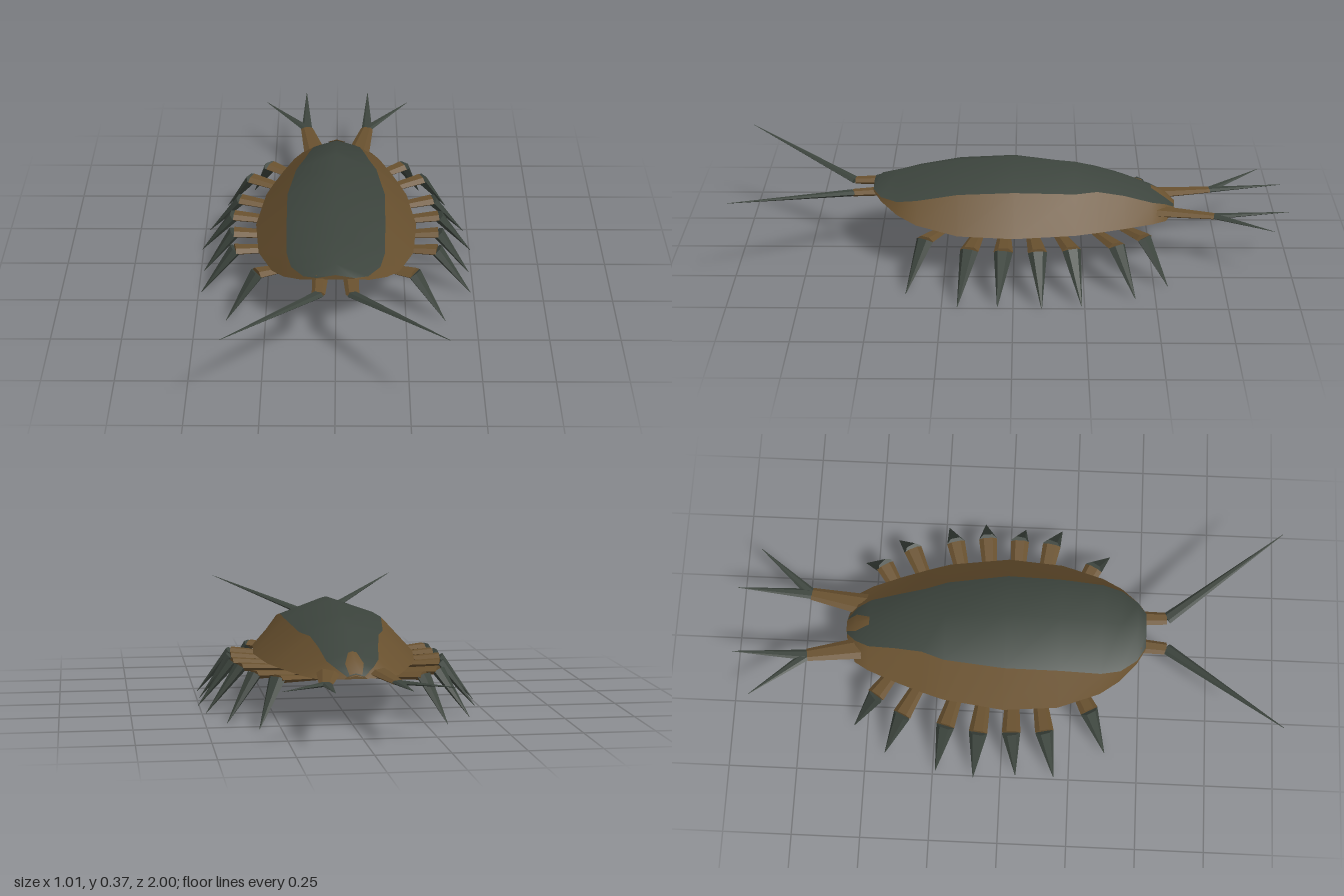
import * as THREE from 'three';

// The shell is an open, hollow surface, so both sides show
const shellGreen = new THREE.MeshStandardMaterial({ color: 0x3c443d, side: THREE.DoubleSide });
shellGreen.name = 'dark green shell';
const rimBrown = new THREE.MeshStandardMaterial({ color: 0x69512f, side: THREE.DoubleSide });
rimBrown.name = 'earth brown';

// Shell stations: z, rim half-width, rim y, shoulder half-width, shoulder y, ridge y
const stations = [
  [-0.585, 0.04, 0.172, 0.03, 0.18, 0.188],
  [-0.55, 0.135, 0.17, 0.065, 0.205, 0.225],
  [-0.5, 0.165, 0.17, 0.09, 0.222, 0.25],
  [-0.4, 0.205, 0.17, 0.105, 0.255, 0.295],
  [-0.3, 0.24, 0.17, 0.122, 0.278, 0.323],
  [-0.22, 0.265, 0.17, 0.15, 0.28, 0.345],
  [0, 0.295, 0.17, 0.178, 0.297, 0.366],
  [0.2, 0.278, 0.172, 0.176, 0.288, 0.35],
  [0.35, 0.225, 0.19, 0.172, 0.262, 0.325],
  [0.42, 0.18, 0.21, 0.155, 0.25, 0.312],
  [0.48, 0.118, 0.236, 0.112, 0.25, 0.3],
  [0.51, 0.07, 0.256, 0.065, 0.262, 0.274],
];

// Skin a surface over rows of points
function loft(name, rows, material) {
  const n = rows[0].length;
  const index = [];
  for (let i = 0; i < rows.length - 1; i++) {
    for (let j = 0; j < n - 1; j++) {
      const a = i * n + j, b = a + n;
      index.push(a, b, b + 1, a, b + 1, a + 1);
    }
  }
  const geo = new THREE.BufferGeometry();
  geo.setAttribute('position', new THREE.Float32BufferAttribute(rows.flat(2), 3));
  geo.setIndex(index);
  geo.computeVertexNormals();
  const mesh = new THREE.Mesh(geo, material);
  mesh.name = name;
  return mesh;
}

// Flattened, tapered rod: r0 and r1 are sideways radii, flat is thickness over width
function limb(name, from, to, r0, r1, flat, material) {
  const a = new THREE.Vector3(...from), b = new THREE.Vector3(...to);
  const dir = b.clone().sub(a);
  const geo = new THREE.CylinderGeometry(r1, r0, dir.length(), 6).scale(flat, 1, 1).toNonIndexed();
  geo.computeVertexNormals();
  dir.normalize();
  const sideways = new THREE.Vector3().crossVectors(dir, new THREE.Vector3(0, 1, 0)).normalize();
  const thick = new THREE.Vector3().crossVectors(dir, sideways);
  const mesh = new THREE.Mesh(geo, material);
  mesh.position.copy(a).add(b).multiplyScalar(0.5);
  mesh.quaternion.setFromRotationMatrix(new THREE.Matrix4().makeBasis(thick, dir, sideways));
  mesh.name = name;
  return mesh;
}

function buildShell() {
  const shell = new THREE.Group();
  shell.name = 'shell';
  const row = (fn) => stations.map(([z, w, yw, s, ys, top]) => fn(z, w, yw, s, ys, top));

  // Domed back and flared side skirts
  shell.add(loft('backShell', row((z, w, yw, s, ys, t) => [[-s, ys, z], [0, t, z], [s, ys, z]]), shellGreen));
  shell.add(loft('leftSkirt', row((z, w, yw, s, ys) => [[s, ys, z], [w, yw, z]]), rimBrown));
  shell.add(loft('rightSkirt', row((z, w, yw, s, ys) => [[-w, yw, z], [-s, ys, z]]), rimBrown));

  // Narrow end faces
  const cap = ([z, w, yw, s, ys, t], flip) => {
    const rows = [
      [[-w, yw, z], [-s, ys, z], [0, t, z], [s, ys, z], [w, yw, z]],
      [[-w, yw, z], [-s, yw, z], [0, yw, z], [s, yw, z], [w, yw, z]],
    ];
    return flip ? rows.map((r) => r.reverse()) : rows;
  };
  shell.add(loft('frontLip', cap(stations[stations.length - 1], false), rimBrown));
  shell.add(loft('tailEnd', cap(stations[0], true), rimBrown));

  // Brown marking along the tail ridge, outside and inside
  for (const d of [0, -0.008]) {
    shell.add(loft('tailMark', [
      [[-0.022, 0.186 + d, -0.587], [0, 0.192 + d, -0.587], [0.022, 0.186 + d, -0.587]],
      [[-0.032, 0.219 + d, -0.55], [0, 0.229 + d, -0.55], [0.032, 0.219 + d, -0.55]],
      [[-0.015, 0.249 + d, -0.5], [0, 0.254 + d, -0.5], [0.015, 0.249 + d, -0.5]],
    ], rimBrown));
  }
  return shell;
}

// Legs: inner end z, knee x and z, foot x and z
const legs = [
  [0.19, 0.28, 0.315, 0.39, 0.38],
  [0.1, 0.365, 0.155, 0.49, 0.195],
  [0.03, 0.375, 0.035, 0.49, 0.055],
  [-0.05, 0.38, -0.085, 0.505, -0.1],
  [-0.12, 0.36, -0.205, 0.485, -0.24],
  [-0.23, 0.325, -0.365, 0.425, -0.43],
  [-0.33, 0.255, -0.465, 0.325, -0.55],
];

function buildSide(side) {
  const group = new THREE.Group();
  group.name = side > 0 ? 'leftLimbs' : 'rightLimbs';
  const p = (x, y, z) => [x * side, y, z];

  for (const [iz, kx, kz, fx, fz] of legs) {
    const leg = new THREE.Group();
    leg.name = 'leg';
    const knee = p(kx, 0.158, kz);
    leg.add(limb('upperLeg', p(0.04, 0.135, iz), knee, 0.012, 0.034, 0.45, rimBrown));
    leg.add(limb('lowerLeg', knee, p(fx, 0, fz), 0.034, 0.001, 0.6, shellGreen));
    group.add(leg);
  }

  // Antenna
  const bend = p(0.058, 0.244, 0.585);
  group.add(limb('antennaBase', p(0.052, 0.25, 0.46), bend, 0.029, 0.023, 0.5, rimBrown));
  group.add(limb('antennaWhip', bend, p(0.37, 0.338, 0.998), 0.022, 0.001, 0.5, shellGreen));

  // Forked tail
  const fork = p(0.12, 0.183, -0.725);
  group.add(limb('tailStem', p(0.082, 0.186, -0.51), fork, 0.044, 0.024, 0.35, rimBrown));
  group.add(limb('innerTailSpike', fork, p(0.125, 0.203, -0.998), 0.021, 0.001, 0.4, shellGreen));
  group.add(limb('outerTailSpike', fork, p(0.285, 0.198, -0.925), 0.02, 0.001, 0.4, shellGreen));
  return group;
}

export function createModel() {
  const model = new THREE.Group();
  model.name = 'crustacean';
  model.add(buildShell(), buildSide(1), buildSide(-1));
  return model;
}
